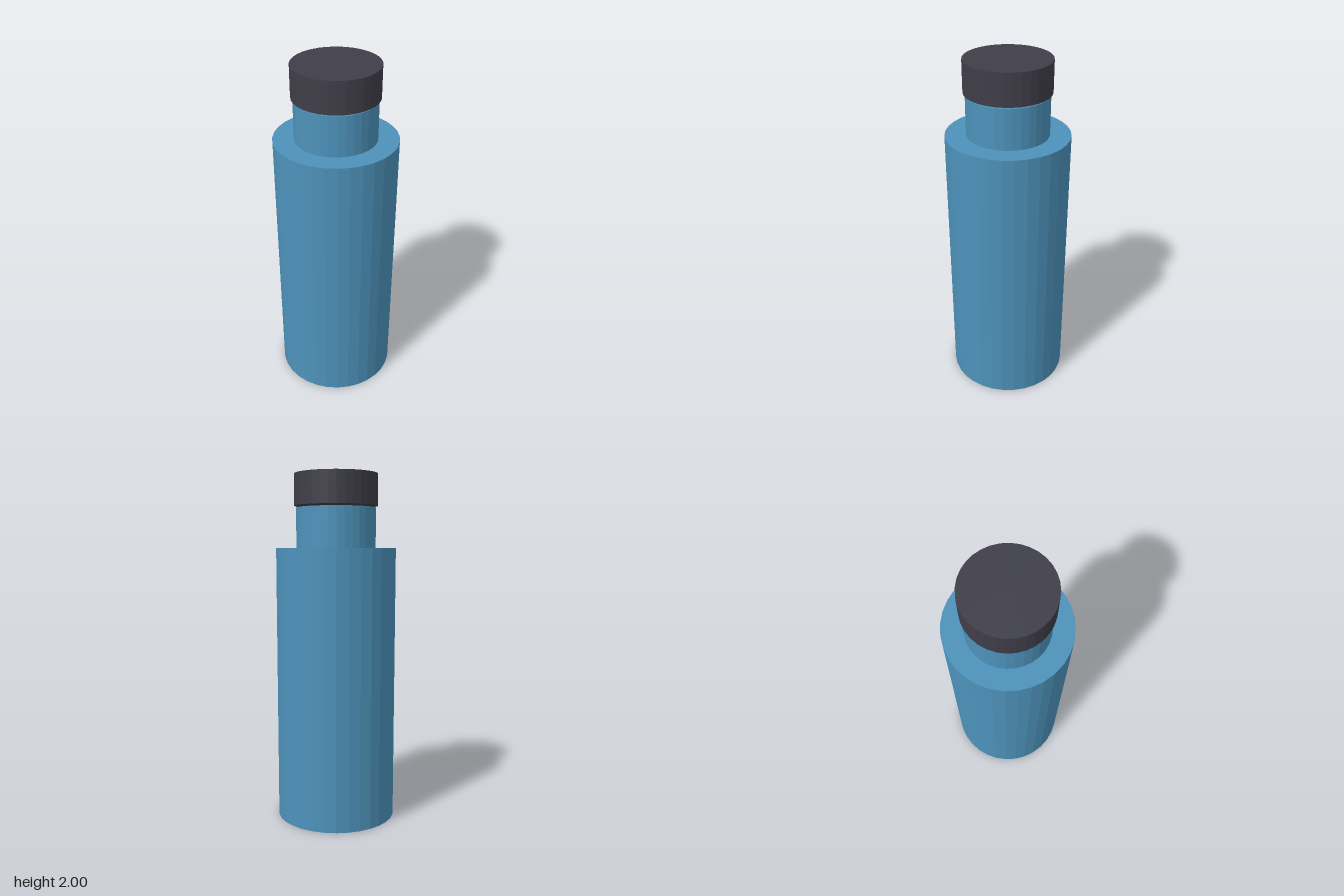
import * as THREE from 'three';

const SIDES = 32;

export function createModel() {
  const bottle = new THREE.Group();
  bottle.name = 'bottle';

  const blue = new THREE.MeshStandardMaterial({ color: 0x4d92ba, flatShading: true });
  blue.name = 'blue';
  const charcoal = new THREE.MeshStandardMaterial({ color: 0x3f3e49, flatShading: true });
  charcoal.name = 'charcoal';

  // Upright solid cylinder between two heights
  function addCylinder(name, radius, bottom, top, material) {
    const height = top - bottom;
    const mesh = new THREE.Mesh(new THREE.CylinderGeometry(radius, radius, height, SIDES), material);
    mesh.name = name;
    mesh.position.y = bottom + height / 2;
    bottle.add(mesh);
  }

  addCylinder('body', 0.346, 0, 1.582, blue);
  addCylinder('neck', 0.229, 1.582, 1.811, blue);
  // The cap sits just clear of the neck
  addCylinder('cap', 0.24, 1.821, 2, charcoal);

  return bottle;
}
